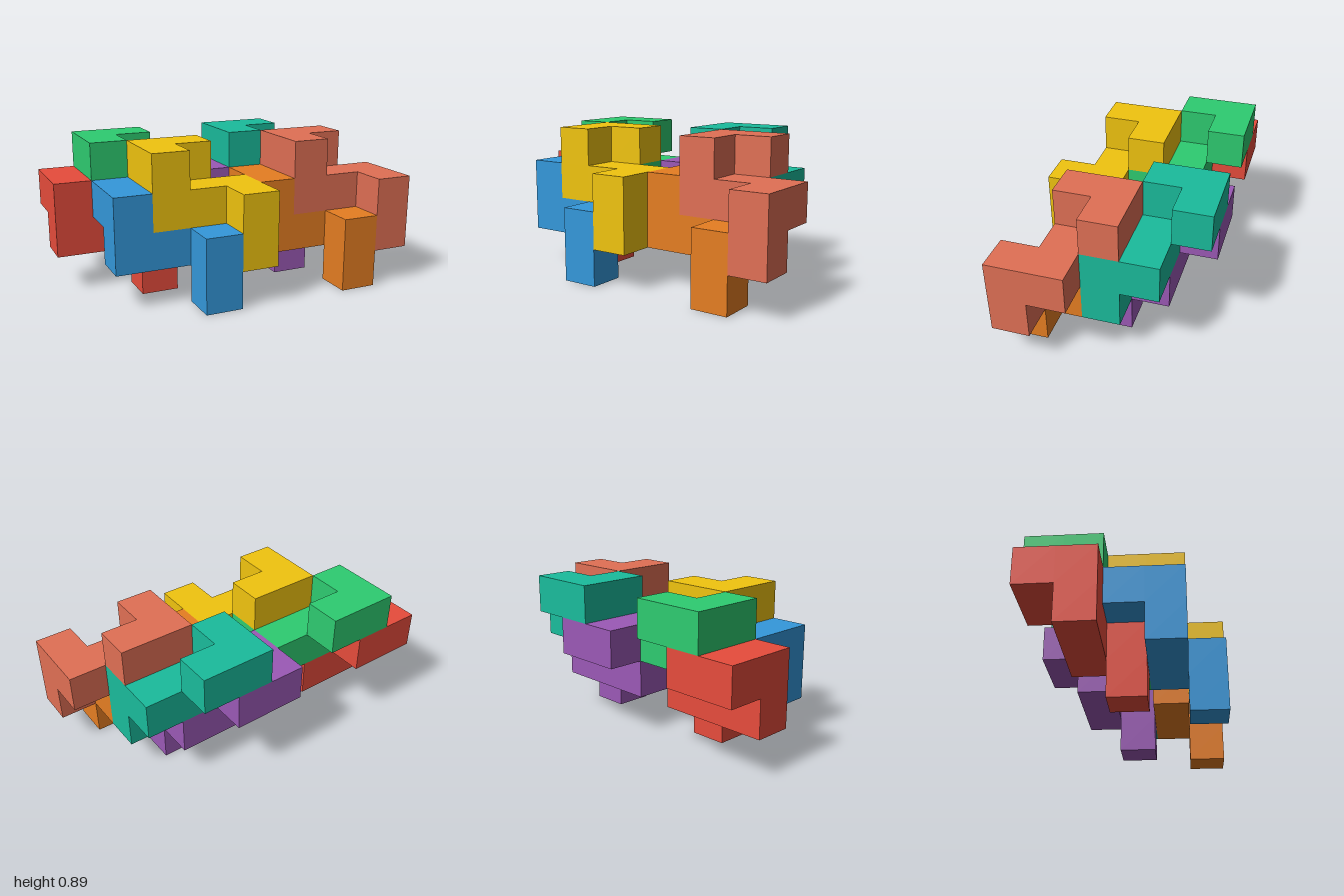
import * as THREE from 'three';
import { mergeGeometries } from 'three/addons/utils/BufferGeometryUtils.js';

const U = 2 / 9; // edge of one cube cell

// Cells [x, y, z] of the one block shape that is repeated
const CELLS = [
  [0, 3, 0], [0, 3, 1], [1, 3, 0],
  [0, 2, 1], [1, 2, 1], [2, 2, 1],
  [2, 2, 2], [2, 1, 2],
];

// Outer skin of the joined cubes: one square per cell side with no neighbour
function blockGeometry() {
  const filled = new Set(CELLS.map(String));
  const forward = new THREE.Vector3(0, 0, 1);
  const faces = [];
  for (const cell of CELLS) {
    for (const axis of [0, 1, 2]) {
      for (const sign of [-1, 1]) {
        const next = [...cell];
        next[axis] += sign;
        if (filled.has(String(next))) continue;
        const normal = new THREE.Vector3().setComponent(axis, sign);
        const face = new THREE.PlaneGeometry(U, U);
        face.applyQuaternion(new THREE.Quaternion().setFromUnitVectors(forward, normal));
        const centre = new THREE.Vector3(...cell).addScalar(0.5).addScaledVector(normal, 0.5);
        face.translate(...centre.multiplyScalar(U).toArray());
        faces.push(face);
      }
    }
  }
  return mergeGeometries(faces);
}

// Name, colour and grid offset of each interlocking block
const BLOCKS = [
  ['redBlock', 0xe74c3c, [0, -1, 0]],
  ['greenBlock', 0x2ecc71, [1, 0, 0]],
  ['blueBlock', 0x3498db, [1, -1, 2]],
  ['yellowBlock', 0xf1c40f, [2, 0, 2]],
  ['purpleBlock', 0x9b59b6, [4, -1, 0]],
  ['tealBlock', 0x1abc9c, [5, 0, 0]],
  ['orangeBlock', 0xe67e22, [5, -1, 2]],
  ['salmonBlock', 0xe17055, [6, 0, 2]],
];

export function createModel() {
  const model = new THREE.Group();
  model.name = 'interlockingBlocks';
  const geometry = blockGeometry();
  for (const [name, color, [x, y, z]] of BLOCKS) {
    const block = new THREE.Mesh(geometry, new THREE.MeshStandardMaterial({ color }));
    block.name = name;
    // The assembly is 9 cells wide and 5 deep, centred on the origin
    block.position.set((x - 4.5) * U, y * U, (z - 2.5) * U);
    model.add(block);
  }
  return model;
}
